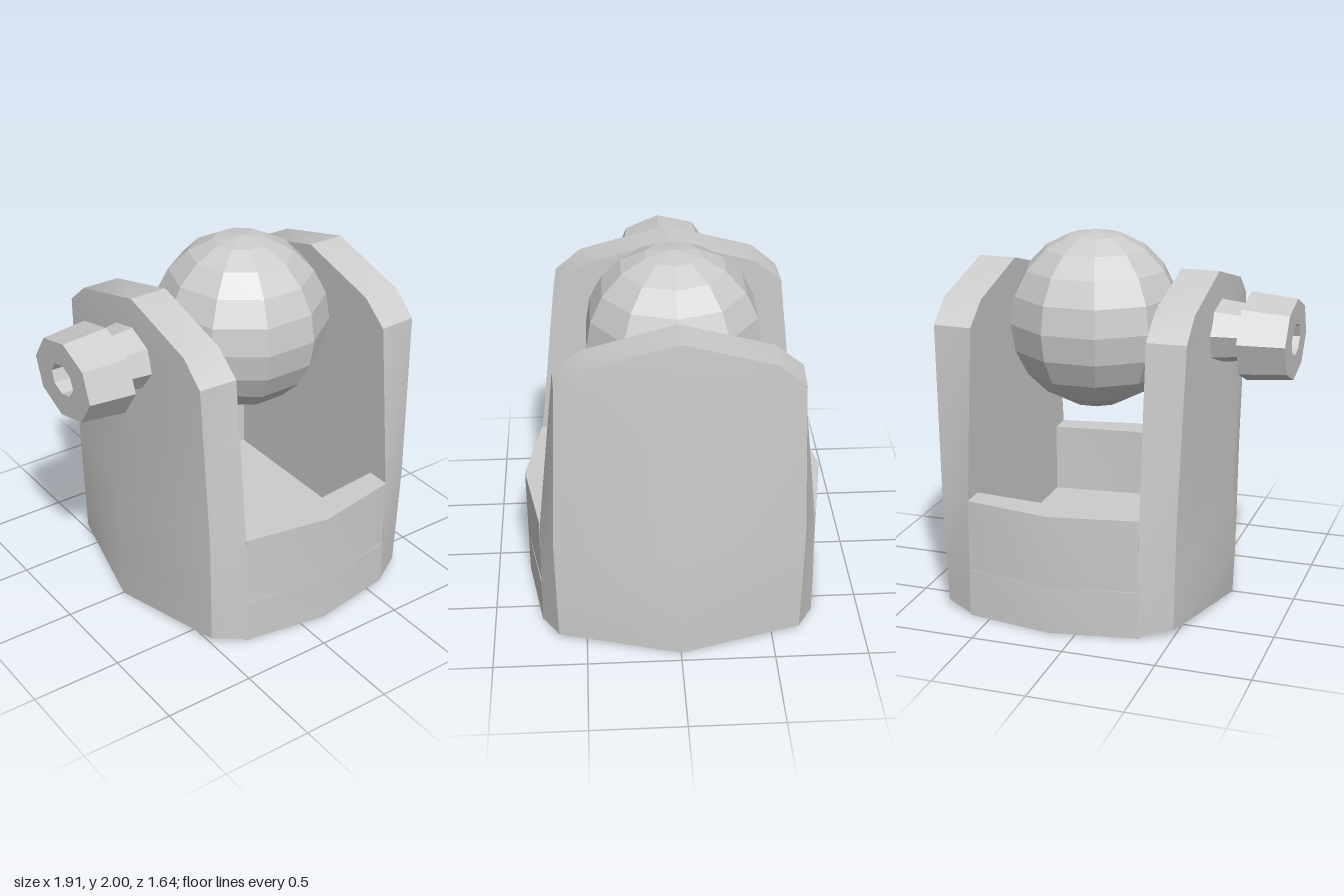
import * as THREE from 'three';
import { toCreasedNormals } from 'three/addons/utils/BufferGeometryUtils.js';

const smooth = new THREE.MeshStandardMaterial({ color: 0xcccccc });
const flat = new THREE.MeshStandardMaterial({ color: 0xcccccc, flatShading: true });

// Arm cross-sections, from the foot to the peak
const ARM_ROWS = [
  // yInner, yCorner, yRidge, zInner, zCorner, xCorner, xRidge
  [0.01, 0.03, 0, 0.74, 0.65, 0.64, 0.795],
  [0.26, 0.26, 0.26, 0.74, 0.655, 0.645, 0.805],
  [0.65, 0.65, 0.65, 0.73, 0.66, 0.655, 0.775],
  [1.57, 1.57, 1.57, 0.63, 0.62, 0.685, 0.703],
  [1.69, 1.69, 1.69, 0.48, 0.48, 0.685, 0.695],
  [1.82, 1.82, 1.82, 0, 0, 0.685, 0.685],
];
const INNER_X = 0.475;

function armGeometry() {
  const pos = [], index = [], n = 5;
  for (const [yi, yc, yr, zi, zc, xc, xr] of ARM_ROWS) {
    pos.push(INNER_X, yi, zi, xc, yc, zc, xr, yr, 0, xc, yc, -zc, INNER_X, yi, -zi);
  }
  for (let r = 0; r < ARM_ROWS.length - 1; r++) {
    for (let i = 0; i < n; i++) {
      const a = r * n + i, b = r * n + (i + 1) % n;
      index.push(a, b, b + n, a, b + n, a + n);
    }
  }
  for (let i = 1; i < n - 1; i++) index.push(0, i + 1, i);
  const g = new THREE.BufferGeometry();
  g.setAttribute('position', new THREE.Float32BufferAttribute(pos, 3));
  g.setIndex(index);
  return toCreasedNormals(g, 0.5);
}

// Extrudes a plan outline of [x, z] points upward from y0 to y1
function slab(points, y0, y1) {
  const shape = new THREE.Shape(points.map(([x, z]) => new THREE.Vector2(x, -z)));
  const g = new THREE.ExtrudeGeometry(shape, { depth: y1 - y0, bevelEnabled: false });
  g.rotateX(-Math.PI / 2).translate(0, y0, 0);
  return toCreasedNormals(g, 0.5);
}

// Eight-sided turned part whose axis runs toward -x
function turned(points, y) {
  const g = new THREE.LatheGeometry(points.map(([r, t]) => new THREE.Vector2(r, t)), 8, -0.1);
  g.rotateZ(Math.PI / 2).scale(1, 1, 1.27).translate(0, y, 0);
  return g;
}

export function createModel() {
  const model = new THREE.Group();
  const add = (parent, name, geometry, material) => {
    const mesh = new THREE.Mesh(geometry, material);
    mesh.name = name;
    parent.add(mesh);
    return mesh;
  };

  // Forked body: recessed floor, two rims and two arms
  const body = new THREE.Group();
  body.name = 'body';
  body.position.x = 0.145;
  model.add(body);

  add(body, 'floorBlock', slab([
    [-INNER_X, 0.74], [0, 0.82], [INNER_X, 0.74],
    [INNER_X, -0.74], [0, -0.82], [-INNER_X, -0.74],
  ], 0, 0.26), smooth);

  const rim = slab([
    [-INNER_X, 0.735], [0, 0.82], [INNER_X, 0.735],
    [INNER_X, 0.6], [0, 0.65], [-INNER_X, 0.6],
  ], 0.26, 0.655);
  const arm = armGeometry();
  ['front', 'back'].forEach((side, i) => {
    add(body, side + 'Rim', rim, smooth).rotation.y = i * Math.PI;
  });
  ['left', 'right'].forEach((side, i) => {
    add(body, side + 'Arm', arm, smooth).rotation.y = i * Math.PI;
  });

  // Ball held between the arms
  const ball = add(model, 'ball', new THREE.SphereGeometry(0.485, 10, 10), flat);
  ball.position.set(0.15, 1.515, 0);
  ball.scale.set(0.99, 1, 0.99);

  // Flared shaft through the right arm, and the socketed knob on its end
  add(model, 'shaft', turned([[0.22, 0.1], [0.15, 0.72]], 1.5), flat);
  add(model, 'knob', turned([
    [0, 0.71], [0.237, 0.71], [0.215, 0.96], [0.085, 0.96], [0.085, 0.84], [0, 0.84],
  ], 1.482), flat);

  return model;
}
